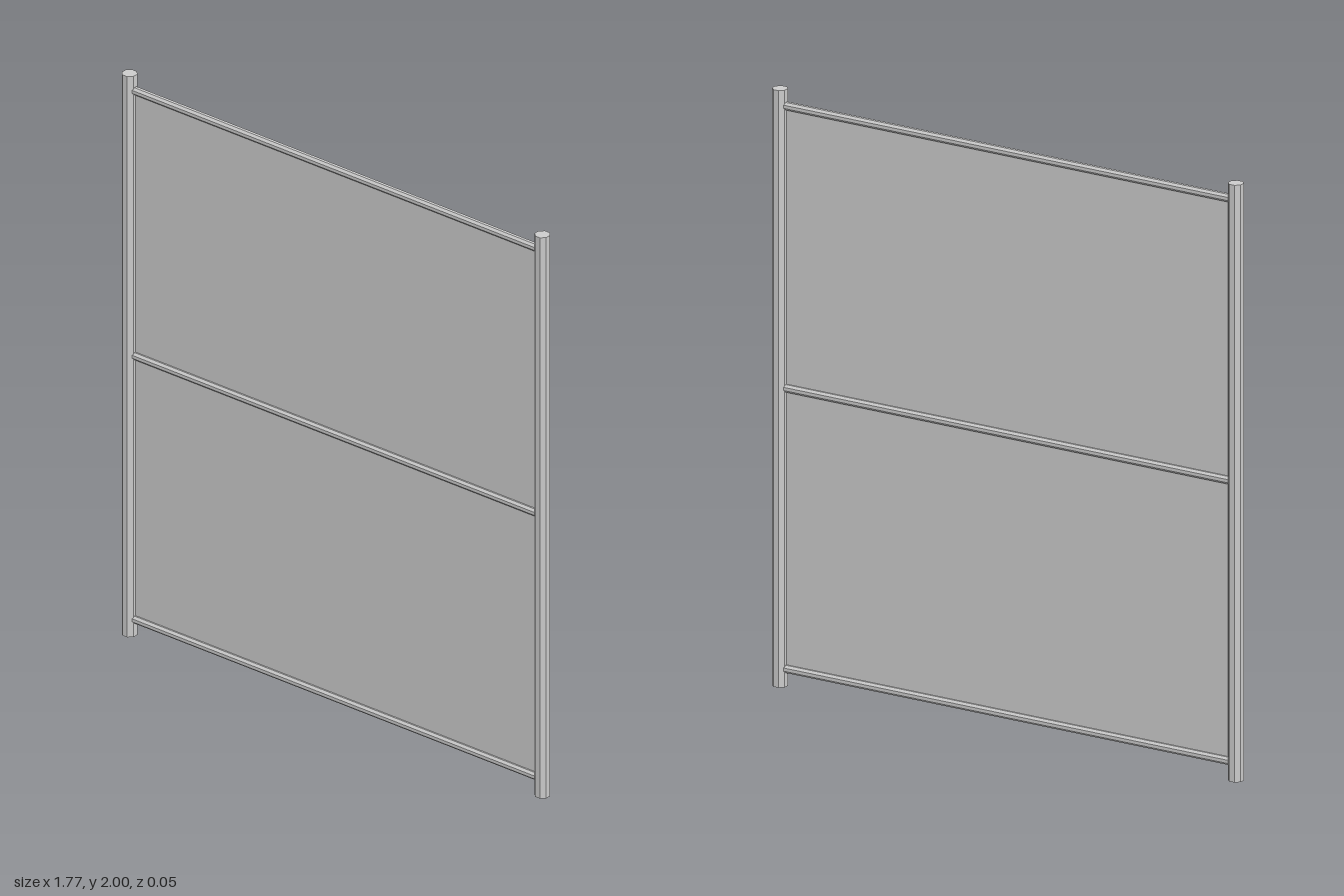
import * as THREE from 'three';

const POST_X = 0.86, POST_R = 0.026, RAIL_R = 0.014;
const RAIL_HEIGHTS = [0.06, 1.0, 1.945];

export function createModel() {
  const group = new THREE.Group();
  const metal = new THREE.MeshStandardMaterial({ color: 0xcccccc, flatShading: true });
  const sheet = new THREE.MeshStandardMaterial({ color: 0xcccccc, side: THREE.DoubleSide });

  // Eight-sided tube, turned so a flat side faces the front
  const tube = (name, radius, length) => {
    const geometry = new THREE.CylinderGeometry(radius, radius, length, 8);
    geometry.rotateY(Math.PI / 8);
    const mesh = new THREE.Mesh(geometry, metal);
    mesh.name = name;
    group.add(mesh);
    return mesh;
  };

  // Upright posts
  for (const side of [-1, 1]) {
    tube(side > 0 ? 'leftPost' : 'rightPost', POST_R, 2).position.set(side * POST_X, 1, 0);
  }

  // Horizontal rails between the posts
  const railNames = ['bottomRail', 'middleRail', 'topRail'];
  RAIL_HEIGHTS.forEach((y, i) => {
    const rail = tube(railNames[i], RAIL_R, 2 * POST_X - POST_R);
    rail.rotation.z = Math.PI / 2;
    rail.position.y = y;
  });

  // Thin infill panel from the bottom rail to the top rail
  const [bottom, , top] = RAIL_HEIGHTS;
  const panel = new THREE.Mesh(new THREE.PlaneGeometry(2 * POST_X - POST_R, top - bottom), sheet);
  panel.name = 'infillPanel';
  panel.position.y = (top + bottom) / 2;
  group.add(panel);

  return group;
}
